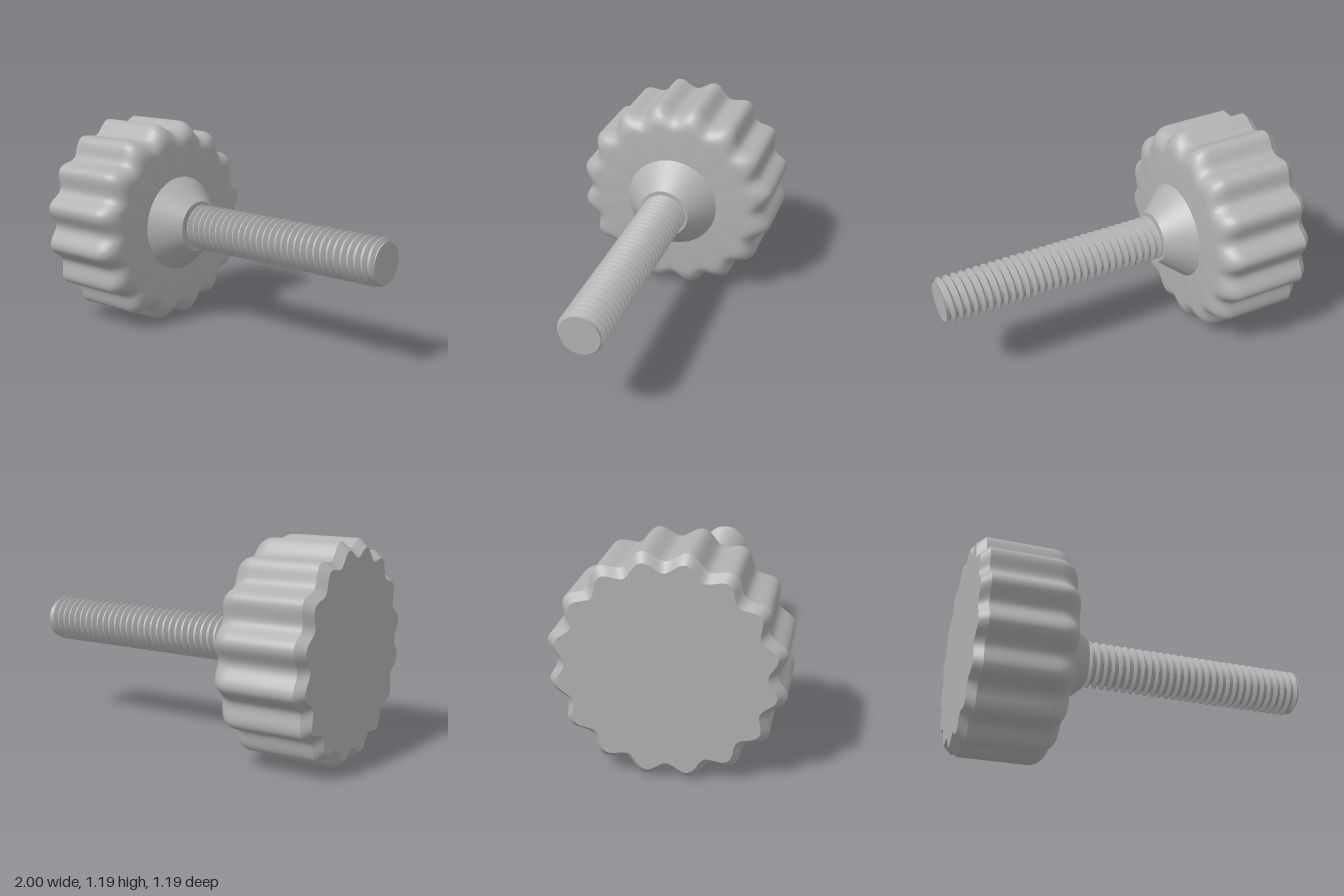
import * as THREE from 'three';
import { toCreasedNormals } from 'three/addons/utils/BufferGeometryUtils.js';

const AXIS_Y = 0.595;
const steel = new THREE.MeshStandardMaterial({ color: 0xb2b2b2 });
steel.name = 'grey steel';

// Skin around the x axis: at(row, angle) gives [x, radius].
function skin(rows, segs, at, crease) {
  const pos = [], index = [];
  for (let i = 0; i < rows; i++) {
    for (let j = 0; j <= segs; j++) {
      const a = (j / segs) * Math.PI * 2;
      const [x, r] = at(i, a);
      pos.push(x, r * Math.cos(a), r * Math.sin(a));
    }
  }
  for (let i = 0; i < rows - 1; i++) {
    for (let j = 0; j < segs; j++) {
      const a = i * (segs + 1) + j, c = a + segs + 1;
      index.push(a, a + 1, c, a + 1, c + 1, c);
    }
  }
  const g = new THREE.BufferGeometry();
  g.setAttribute('position', new THREE.Float32BufferAttribute(pos, 3));
  g.setIndex(index);
  // Enlarged while creasing so that fine detail is kept apart.
  g.scale(100, 100, 100);
  const out = toCreasedNormals(g, crease);
  out.scale(0.01, 0.01, 0.01);
  return out;
}

function part(name, geometry) {
  const mesh = new THREE.Mesh(geometry, steel);
  mesh.name = name;
  return mesh;
}

// Scalloped knob with a chamfered back and a rounded front edge.
function knobGeometry() {
  const lobes = 16, fillet = 0.11, steps = 7;
  // [x, inset, lobe depth]; an inset of null is the centre of a flat face
  const profile = [[-1, null, 0], [-1, 0.045, 1], [-0.953, 0, 1]];
  for (let k = 0; k <= steps; k++) {
    const t = (k / steps) * Math.PI / 2;
    const inset = fillet * (1 - Math.cos(t));
    profile.push([-0.46 - fillet * (1 - Math.sin(t)), inset, 1 - 0.5 * inset / fillet]);
  }
  profile.push([-0.46, null, 0]);
  return skin(profile.length, lobes * 20, (i, a) => {
    const [x, inset, depth] = profile[i];
    if (inset === null) return [x, 0];
    return [x, 0.5775 - inset - 0.0275 * depth * Math.cos(lobes * a)];
  }, 0.5);
}

// Right-handed screw thread, its grid rows following the helix.
function threadGeometry() {
  const pitch = 1.3 / 30, root = 0.106, crest = 0.131, tip = 0.112;
  const stations = [[0, root], [0.25, root], [0.56, crest], [0.69, crest]];
  const turns = 32;
  return skin(turns * 4 + 1, 64, (i, a) => {
    const [f, r] = stations[i % 4];
    const raw = -0.36 + (Math.floor(i / 4) + f + a / (Math.PI * 2)) * pitch;
    const x = Math.min(raw, 1);
    return [x, Math.min(r, tip + (1 - x) * 0.8)];
  }, 0.4);
}

export function createModel() {
  const model = new THREE.Group();
  model.name = 'thumbScrew';

  model.add(part('knob', knobGeometry()));

  // Conical collar between knob and screw
  const collar = [[-0.46, 0.278], [-0.305, 0.148], [-0.305, 0]];
  model.add(part('collar', skin(3, 64, (i) => collar[i], 0.5)));

  model.add(part('thread', threadGeometry()));

  // Flat end of the screw
  const end = new THREE.CircleGeometry(0.112, 64);
  end.rotateY(Math.PI / 2);
  end.translate(1, 0, 0);
  model.add(part('screwEnd', end));

  for (const mesh of model.children) mesh.position.y = AXIS_Y;
  return model;
}
